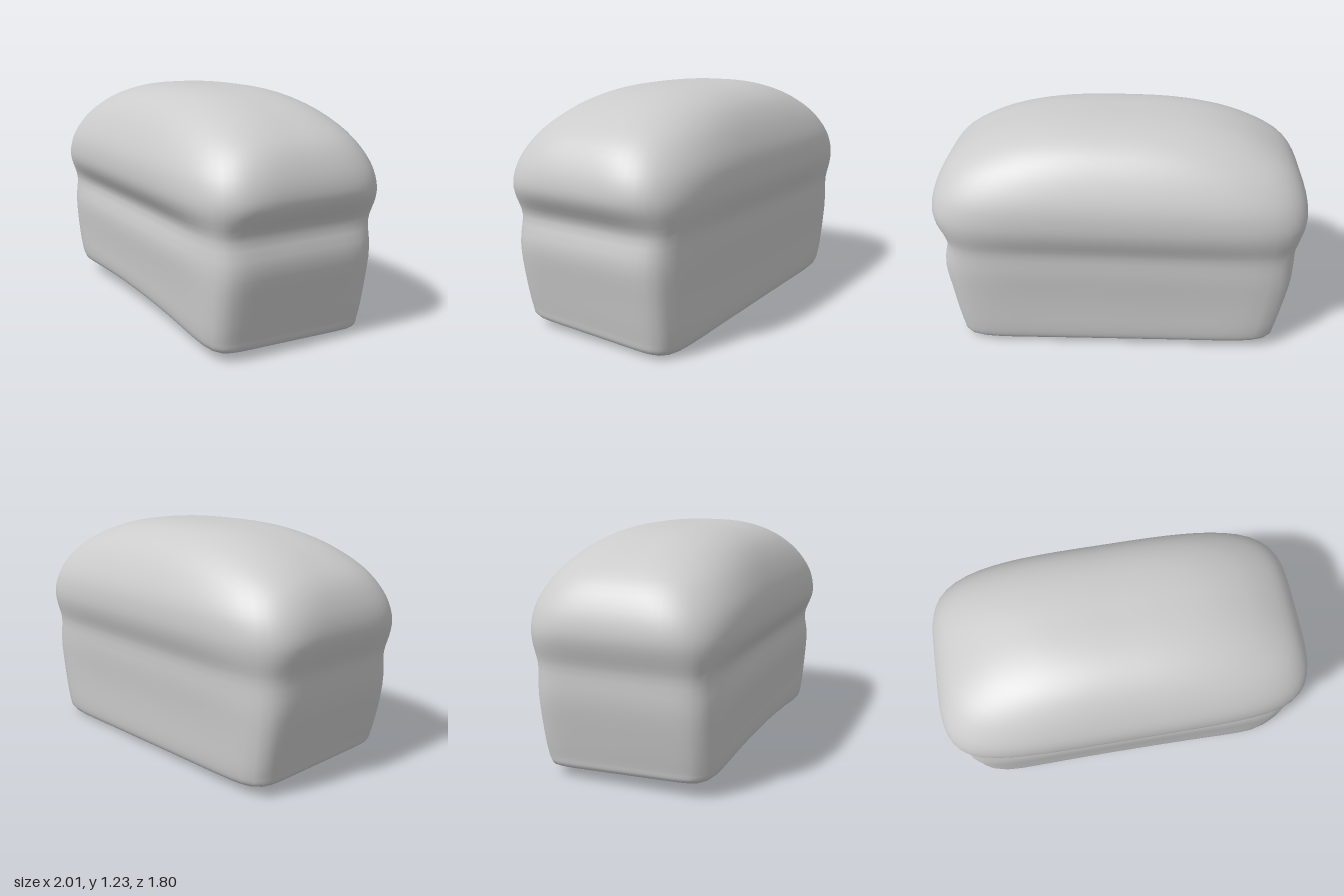
import * as THREE from 'three';

const RINGS = 56, SEGS = 96, ANGLE = -0.637;

// Half length, height and half width of the loaf, from underside to crown.
const profile = new THREE.CatmullRomCurve3([
  [0, 0.035, 0], [0.5, 0.03, 0.27], [0.8, 0.025, 0.425], [0.87, 0.05, 0.46],
  [0.885, 0.1, 0.475], [0.915, 0.22, 0.49], [0.95, 0.4, 0.505], [0.965, 0.57, 0.515],
  [0.99, 0.68, 0.54], [1.0, 0.77, 0.55], [0.975, 0.88, 0.54], [0.9, 1.0, 0.49],
  [0.75, 1.1, 0.42], [0.6, 1.16, 0.345], [0.43, 1.2, 0.25], [0.2, 1.22, 0.12], [0, 1.222, 0],
].map(p => new THREE.Vector3(...p)), false, 'centripetal');

const { lerp, clamp, smoothstep } = THREE.MathUtils;
const bump = (x, centre, width) => Math.exp(-(((x - centre) / width) ** 2));

// Boxy below, rounder towards the crown.
const squareness = y => y < 0.75 ? lerp(10, 5, y / 0.75) : lerp(5, 2.6, clamp((y - 0.75) / 0.45, 0, 1));

function loafPoint(t, angle) {
  const p = profile.getPoint(t);
  const c = Math.cos(angle), s = Math.sin(angle), n = squareness(p.y);
  const r = (Math.abs(c) ** n + Math.abs(s) ** n) ** (-1 / n);
  const a = c * r, b = s * r;
  let u = p.x * a, v = p.z * b, y = p.y;

  // Sunken sides and the groove below the overhanging crust.
  const onSide = smoothstep(Math.abs(b), 0.55, 1), onEnd = smoothstep(Math.abs(a), 0.55, 1);
  const groove = bump(y, 0.61, 0.09), wall = bump(y, 0.3, 0.28);
  const alongSide = Math.max(0, 1 - a ** 4), alongEnd = Math.max(0, 1 - b ** 4);
  v -= Math.sign(b) * onSide * alongSide * ((b > 0 ? 0.05 : 0.015) * groove + 0.025 * wall);
  u -= Math.sign(a) * onEnd * alongEnd * ((a > 0 ? 0.05 : 0.015) * groove + 0.015 * wall);

  // Uneven underside: slight tilt and an arched long edge.
  const low = 1 - smoothstep(y, 0.03, 0.35);
  y += low * (-0.018 * a + 0.015 * b + 0.045 * smoothstep(b, 0.3, 1) * Math.max(0, 1 - a * a));
  return [u, y, v - 0.015];
}

export function createModel() {
  const group = new THREE.Group();
  const positions = [], index = [];
  for (let j = 0; j <= RINGS; j++)
    for (let i = 0; i < SEGS; i++)
      positions.push(...loafPoint(j / RINGS, (i / SEGS) * Math.PI * 2));
  for (let j = 0; j < RINGS; j++)
    for (let i = 0; i < SEGS; i++) {
      const k = (i + 1) % SEGS, p = j * SEGS, q = p + SEGS;
      if (j > 0) index.push(p + i, q + i, p + k);
      if (j < RINGS - 1) index.push(p + k, q + i, q + k);
      if (j === 0) index.push(i, q + i, q + k);
      if (j === RINGS - 1) index.push(p + k, q + i, q + k);
    }
  // Close both poles with a single shared point so the shading stays smooth.
  const last = RINGS * SEGS;
  for (const start of [0, last]) {
    const y = profile.getPoint(start ? 1 : 0).y;
    for (let i = 0; i < SEGS; i++) positions.splice((start + i) * 3, 3, 0, y, -0.015);
  }
  const pole = v => v < SEGS ? 0 : v >= last ? last : v;
  const geometry = new THREE.BufferGeometry();
  geometry.setAttribute('position', new THREE.Float32BufferAttribute(positions, 3));
  geometry.setIndex(index.map(pole));
  geometry.computeVertexNormals();

  const loaf = new THREE.Mesh(geometry, new THREE.MeshStandardMaterial({ color: 0xcccccc }));
  loaf.name = 'breadLoaf';
  loaf.rotation.y = ANGLE;
  group.add(loaf);
  return group;
}
